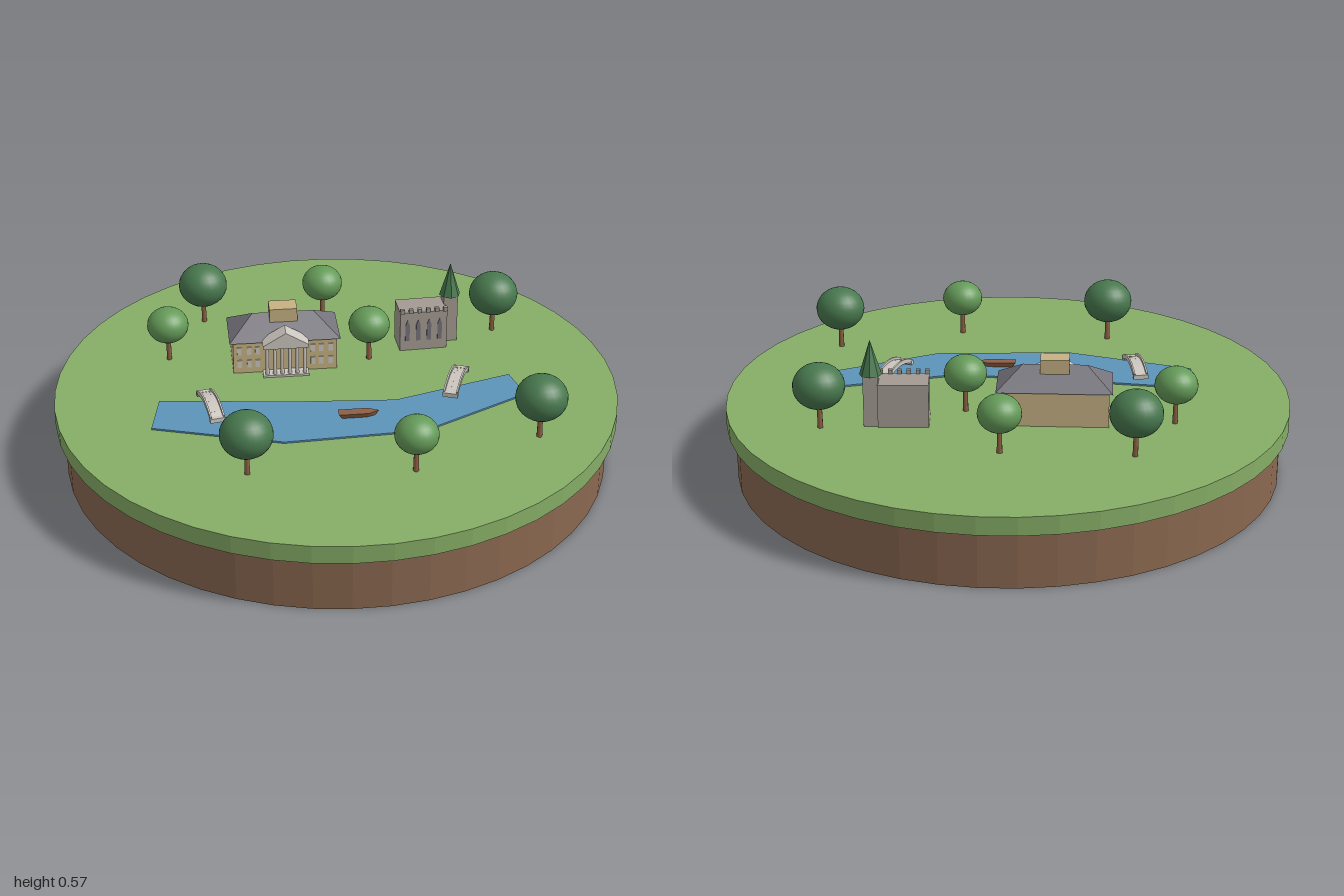
import * as THREE from 'three';

const mat = (name, color) => {
  const m = new THREE.MeshStandardMaterial({ color });
  m.name = name;
  return m;
};

export function createModel() {
  const grass = mat('grass', 0x86ad66), soil = mat('soil', 0x8a6850), water = mat('water', 0x5c94b9);
  const darkLeaf = mat('darkLeaf', 0x48784e), lightLeaf = mat('lightLeaf', 0x649a58);
  const sandstone = mat('sandstone', 0xc6b183), slate = mat('slate', 0x74727a);
  const paleStone = mat('paleStone', 0xcbc6be), greyStone = mat('greyStone', 0xa39b92), wood = mat('wood', 0x8f6045);
  const root = new THREE.Group();
  const TOP = 0.265;

  // Helpers
  const add = (parent, name, geo, material, x = 0, y = 0, z = 0) => {
    const m = new THREE.Mesh(geo, material);
    m.name = name;
    m.position.set(x, y, z);
    parent.add(m);
    return m;
  };
  const box = (parent, name, w, h, d, material, x, y, z) =>
    add(parent, name, new THREE.BoxGeometry(w, h, d), material, x, y, z);
  const faceted = (geo) => {
    const g = geo.toNonIndexed();
    g.computeVertexNormals();
    return g;
  };
  const group = (name, x, z, turn = 0) => {
    const g = new THREE.Group();
    g.name = name;
    g.position.set(x, TOP, z);
    g.rotation.y = turn;
    root.add(g);
    return g;
  };
  const polygon = (pts) => new THREE.Shape(pts.map(([x, y]) => new THREE.Vector2(x, y)));

  // Round base
  add(root, 'soilBase', faceted(new THREE.CylinderGeometry(0.97, 0.97, 0.2, 48)), soil, 0, 0.1, 0);
  add(root, 'lawn', faceted(new THREE.CylinderGeometry(1, 1, 0.065, 48)), grass, 0, 0.2325, 0);

  // Lake, drawn in x and -z then laid flat
  const shore = [[-0.705, 0.005], [-0.33, 0.283], [0.14, 0.422], [0.572, 0.358],
    [0.588, 0.214], [0.14, 0.198], [-0.21, 0.045], [-0.615, -0.155]];
  const lake = new THREE.ExtrudeGeometry(polygon(shore.map(([x, z]) => [x, -z])), { depth: 0.008, bevelEnabled: false });
  add(root, 'lake', lake.rotateX(-Math.PI / 2), water, 0, 0.263, 0);

  // Trees
  const tree = (x, z, big) => {
    const g = group('tree', x, z);
    const rx = big ? 0.09 : 0.075, ry = big ? 0.08 : 0.065, y = big ? 0.153 : 0.141;
    add(g, 'trunk', new THREE.CylinderGeometry(0.007, 0.01, y, 8), wood, 0, y / 2, 0);
    add(g, 'crown', new THREE.SphereGeometry(1, 24, 16).scale(rx, ry, rx), big ? darkLeaf : lightLeaf, 0, y, 0);
  };
  [[-0.245, -0.645], [0.705, -0.115], [-0.517, 0.4], [0.475, 0.615]].forEach(([x, z]) => tree(x, z, true));
  [[-0.47, -0.43], [0.177, -0.49], [0.19, -0.118], [-0.005, 0.623]].forEach(([x, z]) => tree(x, z, false));

  // Country house
  const house = group('house', -0.092, -0.254, -0.34);
  box(house, 'houseWalls', 0.375, 0.125, 0.185, sandstone, 0, 0.0625, 0);
  const roof = new THREE.BoxGeometry(0.4, 0.068, 0.205);
  const rp = roof.attributes.position;
  for (let i = 0; i < rp.count; i++) {
    if (rp.getY(i) > 0) rp.setXYZ(i, Math.sign(rp.getX(i)) * 0.11, rp.getY(i), 0);
  }
  add(house, 'hipRoof', faceted(roof), slate, 0, 0.159, 0);
  box(house, 'roofLantern', 0.1, 0.065, 0.07, sandstone, 0, 0.1885, 0);
  for (const x of [-0.165, -0.13, -0.1, 0.1, 0.13, 0.165]) {
    for (const y of [0.038, 0.09]) box(house, 'houseWindow', 0.016, 0.03, 0.006, paleStone, x, y, 0.094);
  }

  // Portico with columns and gable
  box(house, 'porticoStep', 0.165, 0.008, 0.05, paleStone, 0, 0.004, 0.112);
  for (let i = 0; i < 6; i++) {
    add(house, 'column', new THREE.CylinderGeometry(0.006, 0.007, 0.11, 10), paleStone, -0.0675 + i * 0.027, 0.063, 0.124);
  }
  box(house, 'porticoBeam', 0.16, 0.014, 0.05, paleStone, 0, 0.122, 0.112);
  const gable = new THREE.ExtrudeGeometry(polygon([[-0.083, 0], [0.083, 0], [0, 0.05]]), { depth: 0.065, bevelEnabled: false });
  add(house, 'pediment', gable, paleStone, 0, 0.129, 0.075);

  // Chapel with battlements
  const chapel = group('chapel', 0.417, -0.145, -0.29);
  box(chapel, 'chapelWalls', 0.175, 0.155, 0.11, greyStone, 0, 0.0775, 0);
  for (let i = 0; i < 6; i++) {
    box(chapel, 'battlement', 0.015, 0.016, 0.014, greyStone, -0.08 + i * 0.032, 0.162, 0.054);
  }
  const lancet = new THREE.ExtrudeGeometry(
    polygon([[-0.008, 0], [0.008, 0], [0.008, 0.065], [0, 0.085], [-0.008, 0.065]]), { depth: 0.006, bevelEnabled: false });
  for (let i = 0; i < 4; i++) add(chapel, 'lancetWindow', lancet, slate, -0.06 + i * 0.04, 0.04, 0.052);

  // Tower and spire
  box(chapel, 'tower', 0.053, 0.185, 0.053, greyStone, 0.11, 0.0925, -0.02);
  add(chapel, 'spire', faceted(new THREE.ConeGeometry(0.039, 0.125, 8)), darkLeaf, 0.11, 0.245, -0.02);

  // Arched bridges, built from sloping slabs
  const bridge = (x, z, turn) => {
    const g = group('bridge', x, z, turn);
    const n = 7, half = 0.09, height = (t) => 0.038 + 0.022 * (1 - t * t);
    for (let i = 0; i < n; i++) {
      const a = -1 + (2 * i) / n, b = a + 2 / n;
      const dz = (b - a) * half, dy = height(b) - height(a);
      const slab = new THREE.Group();
      slab.name = 'bridgeSection';
      slab.position.set(0, (height(a) + height(b)) / 2, ((a + b) / 2) * half);
      slab.rotation.x = -Math.atan2(dy, dz);
      g.add(slab);
      const len = Math.hypot(dz, dy) + 0.002;
      box(slab, 'deck', 0.046, 0.01, len, paleStone, 0, 0, 0);
      for (const s of [-1, 1]) box(slab, 'parapet', 0.006, 0.016, len, paleStone, s * 0.023, 0.006, 0);
    }
    for (const s of [-1, 1]) box(g, 'bridgeEnd', 0.054, 0.016, 0.016, paleStone, 0, 0.038, s * 0.094);
  };
  bridge(-0.484, 0.005, -0.14);
  bridge(0.364, 0.225, -0.71);

  // Rowing boat with a narrower keel
  const boat = group('boat', -0.028, 0.238, -0.33);
  const hull = new THREE.ExtrudeGeometry(
    polygon([[-0.07, -0.019], [0.035, -0.019], [0.072, 0], [0.035, 0.019], [-0.07, 0.019]]),
    { depth: 0.02, bevelEnabled: false }).rotateX(-Math.PI / 2);
  const hp = hull.attributes.position;
  for (let i = 0; i < hp.count; i++) {
    if (hp.getY(i) < 0.01) hp.setXYZ(i, hp.getX(i) * 0.8, hp.getY(i), hp.getZ(i) * 0.6);
  }
  hull.computeVertexNormals();
  add(boat, 'hull', hull, wood, 0, 0.004, 0);

  return root;
}
